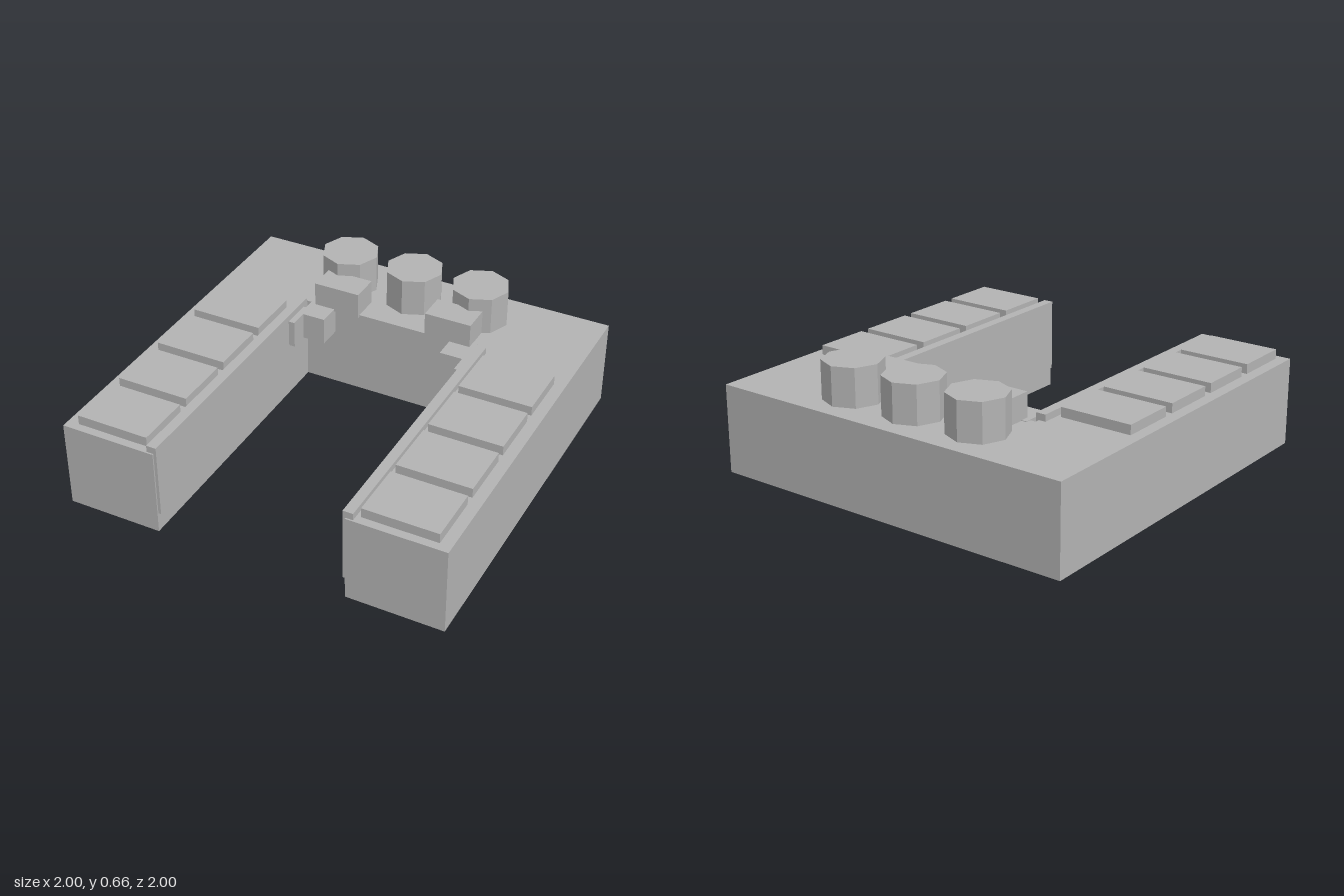
import * as THREE from 'three';

export function createModel() {
  const group = new THREE.Group();
  const grey = new THREE.MeshStandardMaterial({ color: 0xb2b2b2, flatShading: true });
  grey.name = 'plain grey';

  const add = (name, geometry, x = 0, y = 0, z = 0) => {
    const mesh = new THREE.Mesh(geometry, grey);
    mesh.name = name;
    mesh.position.set(x, y, z);
    group.add(mesh);
  };

  // Box given by its limits on each axis
  const box = (name, x0, x1, y0, y1, z0, z1) =>
    add(name, new THREE.BoxGeometry(Math.abs(x1 - x0), y1 - y0, z1 - z0),
      (x0 + x1) / 2, (y0 + y1) / 2, (z0 + z1) / 2);

  // U-shaped body, open to the front
  const outline = new THREE.Shape([
    [-1, -1], [-0.5, -1], [-0.5, 0.5], [0.5, 0.5],
    [0.5, -1], [1, -1], [1, 1], [-1, 1],
  ].map(([x, y]) => new THREE.Vector2(x, y)));
  const body = new THREE.ExtrudeGeometry(outline, { depth: 0.46, bevelEnabled: false });
  body.rotateX(-Math.PI / 2);
  add('body', body);

  // Three octagonal drums along the back
  for (const x of [-0.375, 0, 0.375]) {
    add('drum', new THREE.CylinderGeometry(0.153, 0.153, 0.2, 8), x, 0.56, -0.763);
  }

  for (const s of [-1, 1]) {
    const side = s > 0 ? 'left' : 'right';

    // Liner panel on the inner wall of the arm
    box(side + 'InnerPanel', s * 0.485, s * 0.537, 0.105, 0.495, -0.475, 0.992);

    // Row of flat pads on the arm
    for (let i = 0; i < 4; i++) {
      const z = -0.382 + i * 0.348;
      box(side + 'Pad', s * 0.558, s * 0.94, 0.45, 0.51, z, z + 0.295);
    }

    // Block in front of the drums
    box(side + 'Block', s * 0.19, s * 0.442, 0.45, 0.59, -0.64, -0.485);

    // Corner bracket: block and side plate
    box(side + 'CornerBlock', s * 0.47, s * 0.33, 0.317, 0.463, -0.53, -0.37);
    box(side + 'CornerPlate', s * 0.49, s * 0.452, 0.317, 0.463, -0.435, -0.273);
  }

  return group;
}
